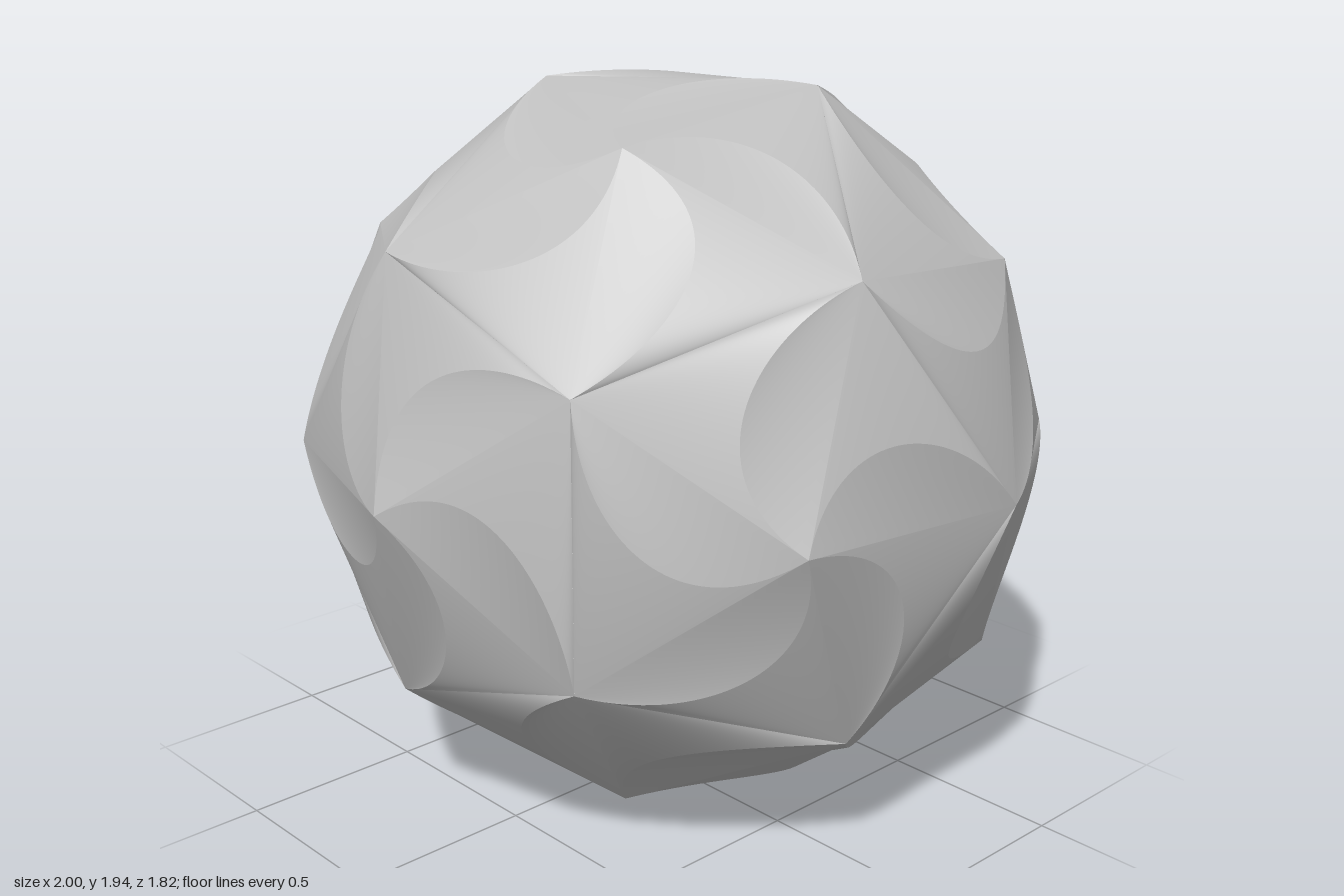
import * as THREE from 'three';
import { mergeGeometries } from 'three/addons/utils/BufferGeometryUtils.js';

const R = 0.618;        // pentagon radius
const INNER = 0.809;    // distance from middle of the solid to a face
const PEAK = 0.2;       // height of each swirl's tip above its face
const STEPS = 40;
const STEP_ANGLE = Math.PI * 2 / 5;

// Curved ridge from the pentagon corner at `angle` in to the raised tip
function ridge(angle) {
  const curve = new THREE.CubicBezierCurve(
    new THREE.Vector2(0, 0), new THREE.Vector2(0.188, 0.259),
    new THREE.Vector2(0.514, 0.314), new THREE.Vector2(R, 0));
  return curve.getPoints(STEPS).map((p) => {
    const q = new THREE.Vector2(R - p.x, p.y);
    const height = PEAK * Math.max(0, 1 - q.length() / R);
    q.rotateAround(new THREE.Vector2(), angle);
    return new THREE.Vector3(q.x, q.y, height);
  });
}

// One petal: a cone of lines from its corner to the previous ridge, then to its own ridge
function petal(angle) {
  const previous = ridge(angle - STEP_ANGLE);
  const own = ridge(angle);
  const points = [own[0], ...previous, ...own.slice(1, STEPS)];
  const index = [];
  for (let i = 0; i < STEPS; i++) index.push(0, i + 2, i + 1);
  const centre = STEPS + 1;
  const first = STEPS + 2;
  for (let i = 0; i < STEPS - 1; i++) {
    index.push(0, first + i, i === STEPS - 2 ? centre : first + i + 1);
  }
  const geometry = new THREE.BufferGeometry().setFromPoints(points);
  geometry.setIndex(index);
  geometry.computeVertexNormals();
  return geometry;
}

export function createModel() {
  const model = new THREE.Group();
  model.name = 'swirledDodecahedron';
  const grey = new THREE.MeshStandardMaterial({ color: 0xc0c0c0, side: THREE.DoubleSide });
  grey.name = 'light grey';

  // Swirled face of five petals, with one corner pointing to -x
  const petals = [];
  for (let i = 0; i < 5; i++) petals.push(petal(Math.PI + i * STEP_ANGLE));
  const swirl = mergeGeometries(petals);
  swirl.translate(0, 0, INNER);

  const addFace = (name, azimuth, tilt, spin) => {
    const mesh = new THREE.Mesh(swirl, grey);
    mesh.name = name;
    const turn = new THREE.Matrix4().makeRotationZ(azimuth)
      .multiply(new THREE.Matrix4().makeRotationY(tilt))
      .multiply(new THREE.Matrix4().makeRotationZ(spin));
    mesh.quaternion.setFromRotationMatrix(turn);
    model.add(mesh);
  };

  // Front face and the two rings of five around the solid
  const tilt = Math.atan(2);
  addFace('frontSwirl', 0, 0, 0);
  for (let i = 0; i < 5; i++) {
    addFace(`frontRingSwirl${i + 1}`, i * STEP_ANGLE, tilt, Math.PI);
    addFace(`backRingSwirl${i + 1}`, Math.PI + i * STEP_ANGLE, Math.PI - tilt, 0);
  }

  // Flat back face
  const back = new THREE.Mesh(new THREE.CircleGeometry(R, 5, Math.PI), grey);
  back.name = 'flatBack';
  back.rotation.y = Math.PI;
  back.position.z = -INNER;
  model.add(back);

  model.position.set(0, 0.97, -PEAK / 2);
  const root = new THREE.Group();
  root.name = 'ornament';
  root.add(model);
  return root;
}
